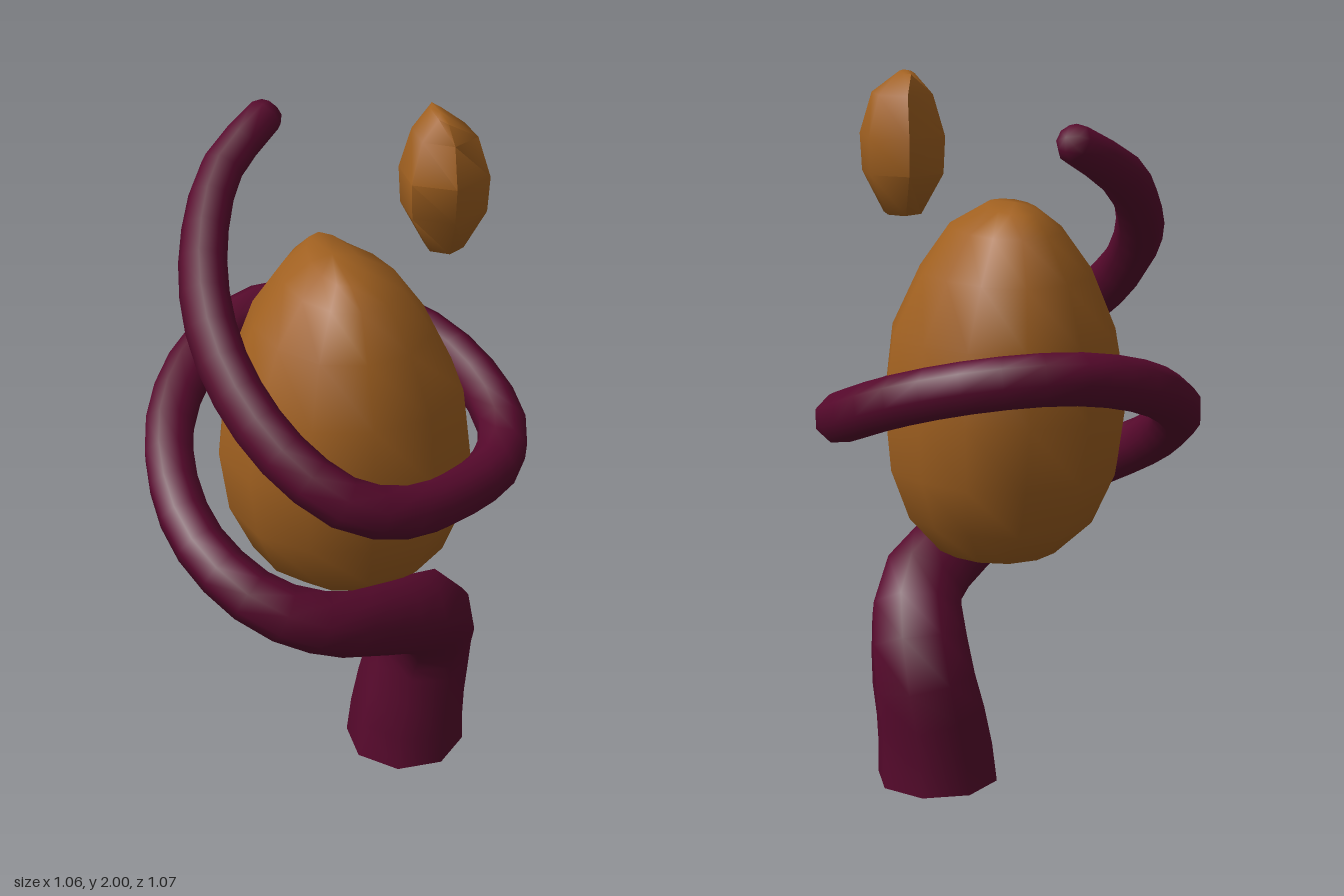
import * as THREE from 'three';
import { toCreasedNormals } from 'three/addons/utils/BufferGeometryUtils.js';

// Skin a list of rings (counter-clockwise around the travel direction), closed at both end points
function loft(rings, start, end) {
  const n = rings[0].length;
  const points = [start, ...rings.flat(), end];
  const last = points.length - 1;
  const at = (i, j) => 1 + i * n + (j % n);
  const index = [];
  for (let j = 0; j < n; j++) {
    index.push(0, at(0, j + 1), at(0, j));
    for (let i = 0; i < rings.length - 1; i++) {
      index.push(at(i, j), at(i, j + 1), at(i + 1, j));
      index.push(at(i, j + 1), at(i + 1, j + 1), at(i + 1, j));
    }
    index.push(at(rings.length - 1, j), at(rings.length - 1, j + 1), last);
  }
  const geometry = new THREE.BufferGeometry().setFromPoints(points);
  geometry.setIndex(index);
  return toCreasedNormals(geometry, 1.05);
}

// Rounded body from rows of [y, xMin, xMax, zMin, zMax]; skew pulls in the right-hand back
// corner and pushes out the front one
function body(rows, sides, turn, skew, bottom, top) {
  const rings = rows.map(([y, x0, x1, z0, z1]) => Array.from({ length: sides }, (_, j) => {
    const a = turn + (j / sides) * Math.PI * 2;
    const k = 0.5 * (1 - skew * Math.sin(2 * a) * Math.max(Math.cos(a), 0));
    return new THREE.Vector3(
      (x0 + x1) / 2 + Math.cos(a) * (x1 - x0) * k, y,
      (z0 + z1) / 2 - Math.sin(a) * (z1 - z0) * k);
  }));
  return loft(rings, new THREE.Vector3(...bottom), new THREE.Vector3(...top));
}

// Tapering tube through [x, y, z, radius] stations
function tentacle(stations, segments, sides) {
  const curve = new THREE.CatmullRomCurve3(stations.map(([x, y, z]) => new THREE.Vector3(x, y, z)));
  const { normals, binormals, tangents } = curve.computeFrenetFrames(segments);
  const rings = [];
  const addRing = (center, i, r) => rings.push(Array.from({ length: sides }, (_, j) => {
    const a = ((j + 0.5) / sides) * Math.PI * 2;
    return center.clone()
      .addScaledVector(normals[i], Math.cos(a) * r)
      .addScaledVector(binormals[i], Math.sin(a) * r);
  }));
  let r = 0;
  for (let i = 0; i <= segments; i++) {
    const s = curve.getUtoTmapping(i / segments) * (stations.length - 1);
    const k = Math.min(Math.floor(s), stations.length - 2);
    r = THREE.MathUtils.lerp(stations[k][3], stations[k + 1][3], s - k);
    addRing(curve.getPointAt(i / segments), i, r);
  }
  // level foot
  rings[0].forEach((p) => { p.y = 0; });
  // rounded tip
  const tip = curve.getPointAt(1);
  const dir = tangents[segments];
  addRing(tip.clone().addScaledVector(dir, r * 0.5), segments, r * 0.7);
  return loft(rings, curve.getPointAt(0), tip.clone().addScaledVector(dir, r * 0.65));
}

export function createModel() {
  const group = new THREE.Group();
  const purple = new THREE.MeshStandardMaterial({ name: 'dark purple', color: 0x56092c });
  const brown = new THREE.MeshStandardMaterial({ name: 'amber brown', color: 0xa06020 });
  const add = (name, geometry, material) => {
    const mesh = new THREE.Mesh(geometry, material);
    mesh.name = name;
    group.add(mesh);
  };

  // Thick stem that thins out and coils round the large body
  add('coilingStem', tentacle([
    [0.205, 0, 0, 0.174], [0.215, 0.14, 0, 0.164], [0.25, 0.36, 0.01, 0.146],
    [0.23, 0.525, 0.13, 0.127], [0.065, 0.635, 0.275, 0.105], [-0.13, 0.725, 0.38, 0.088],
    [-0.3, 0.805, 0.355, 0.078], [-0.43, 0.905, 0.2, 0.073], [-0.467, 1.0, 0.02, 0.071],
    [-0.43, 1.1, -0.18, 0.071], [-0.31, 1.19, -0.35, 0.071], [-0.15, 1.24, -0.45, 0.071],
    [0, 1.25, -0.472, 0.071], [0.2, 1.225, -0.425, 0.071], [0.36, 1.17, -0.305, 0.071],
    [0.45, 1.1, -0.13, 0.071], [0.462, 1.05, 0.04, 0.071], [0.4, 1.03, 0.18, 0.071],
    [0.23, 1.045, 0.335, 0.071], [0.06, 1.085, 0.44, 0.071], [-0.1, 1.15, 0.46, 0.071],
    [-0.24, 1.255, 0.36, 0.07], [-0.33, 1.38, 0.2, 0.069], [-0.36, 1.5, 0.04, 0.068],
    [-0.33, 1.625, -0.15, 0.065], [-0.235, 1.755, -0.335, 0.061], [-0.09, 1.85, -0.435, 0.053],
  ], 54, 8), purple);

  // Large egg with a blunt ridge on top
  add('largeEgg', body([
    [0.665, -0.14, 0.19, -0.15, 0.17], [0.76, -0.25, 0.275, -0.24, 0.28],
    [0.9, -0.315, 0.325, -0.295, 0.33], [1.08, -0.34, 0.34, -0.32, 0.355],
    [1.28, -0.305, 0.315, -0.315, 0.345], [1.45, -0.235, 0.235, -0.275, 0.29],
    [1.57, -0.15, 0.15, -0.21, 0.23], [1.625, -0.08, 0.05, -0.15, 0.18],
  ], 12, 0, 0.1, [0.02, 0.635, 0.01], [-0.02, 1.638, 0.01]), brown);

  // Small floating seed, six-sided with a ridge on top
  add('smallSeed', body([
    [1.62, 0.235, 0.34, -0.065, 0.06], [1.73, 0.17, 0.4, -0.118, 0.108],
    [1.83, 0.165, 0.405, -0.128, 0.118], [1.94, 0.2, 0.37, -0.105, 0.09],
    [1.995, 0.255, 0.29, -0.08, 0.07],
  ], 6, Math.PI / 6, 0.06, [0.285, 1.61, 0], [0.272, 2.0, 0]), brown);

  return group;
}
